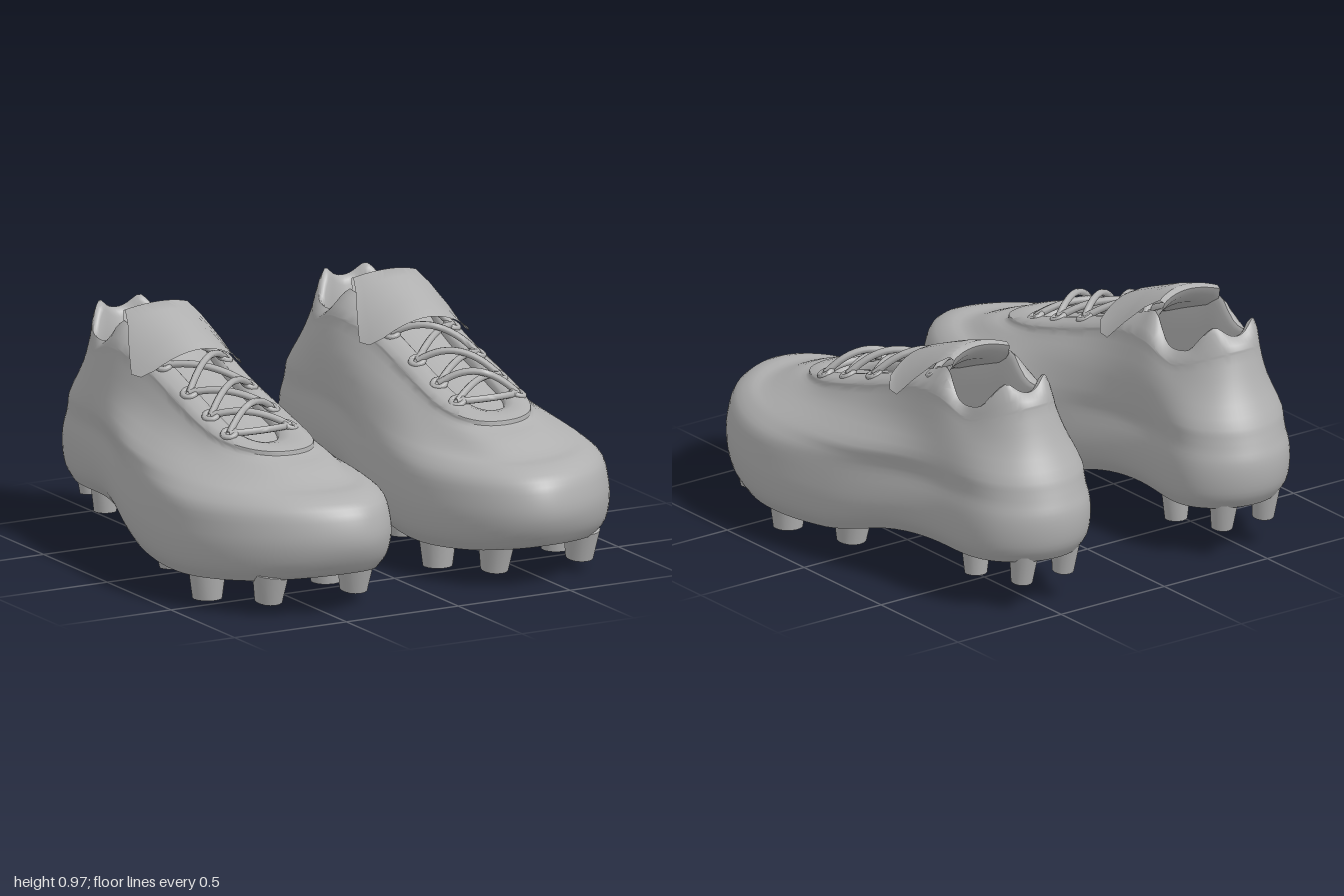
import * as THREE from 'three';
import { toCreasedNormals } from 'three/addons/utils/BufferGeometryUtils.js';

const V = (x, y, z) => new THREE.Vector3(x, y, z);

// Smooth function through [position, value] pairs
function curve(p) {
  const slope = i => {
    const a = p[Math.max(i - 1, 0)], b = p[Math.min(i + 1, p.length - 1)];
    return (b[1] - a[1]) / (b[0] - a[0]);
  };
  return x => {
    x = Math.min(Math.max(x, p[0][0]), p[p.length - 1][0]);
    let i = 0;
    while (i < p.length - 2 && x > p[i + 1][0]) i++;
    const h = p[i + 1][0] - p[i][0], t = (x - p[i][0]) / h, t2 = t * t, t3 = t2 * t;
    return (2 * t3 - 3 * t2 + 1) * p[i][1] + (t3 - 2 * t2 + t) * h * slope(i)
      + (3 * t2 - 2 * t3) * p[i + 1][1] + (t3 - t2) * h * slope(i + 1);
  };
}
const even = a => curve(a.map((v, i) => [i / (a.length - 1), v]));

// Heights along the shoe
const soleY = curve([[-1, .22], [-.7, .205], [-.4, .21], [-.25, .195], [-.1, .155],
  [.05, .125], [.4, .115], [.7, .135], [.9, .165], [1, .19]]);
const wideY = curve([[-1, .34], [-.4, .32], [0, .26], [.5, .26], [1, .30]]);
const bandY = curve([[-1, .46], [-.4, .46], [0, .42], [.5, .41], [1, .44]]);
const ridgeY = curve([[-.96, .54], [-.4, .54], [0, .50], [.4, .49], [.78, .485]]);
const upperY = curve([[-.89, .67], [-.5, .66], [0, .60], [.3, .555], [.64, .54]]);
const stayY = curve([[-.85, .81], [-.65, .74], [-.5, .79], [-.3, .77], [0, .68], [.3, .60], [.54, .565]]);
const topY = curve([[-.8, .865], [-.775, .91], [-.75, .88], [-.71, .82], [-.66, .80], [-.58, .798],
  [-.54, .825], [-.48, .90], [-.4, .875], [-.2, .795], [.1, .69], [.31, .62], [.41, .592]]);

// Horizontal loop: heel to toe on the outer side, then back on the inner side
const N = 60;
function ring(zB, zF, xB, xF, outer, inner, yOf, inset = 0) {
  const fo = even(outer), fi = even(inner), pts = [];
  for (let j = 0; j < 2 * N; j++) {
    const s = j <= N ? j / N : (2 * N - j) / N;
    const k = (1 - Math.cos(Math.PI * s)) / 2, z = zB + (zF - zB) * k;
    const w = Math.sin(Math.PI * s) * ((j <= N ? fo(s) : fi(s)) - inset);
    pts.push(V(xB + (xF - xB) * k + (j <= N ? w : -w), yOf(z), z));
  }
  return pts;
}

function bodyGeometry() {
  const wo = [.50, .465, .362, .445, .556, .575, .50], wi = [.50, .435, .268, .30, .388, .42, .42];
  const so = [.34, .285, .21, .29, .42], si = [.34, .285, .175, .24, .42];
  const to = [.30, .30, .18, .11, .12, .17, .25];
  const band = ring(-.982, .965, .48, .432, wo, wi, bandY, .022);
  const ridge = ring(-.955, .78, .48, .445, [.48, .43, .337, .39, .44, .50, .50],
    [.48, .40, .256, .255, .295, .33, .42], ridgeY);
  const rings = [
    ring(-.95, .93, .48, .435, wo, wi, soleY, .045),
    ring(-.985, .975, .48, .432, wo, wi, z => soleY(z) + .05, .012),
    ring(-1, 1, .48, .43, wo, wi, wideY),
    ring(-.998, .995, .48, .43, wo, wi, z => wideY(z) + .07, .006),
    band,
    band.map((p, j) => p.clone().lerp(ridge[j], .5).add(V(0, .018 * Math.max(p.z, 0), 0))),
    ridge,
    ring(-.89, .64, .487, .46, [.4, .325, .275, .345, .42], [.4, .295, .225, .265, .41], upperY),
    ring(-.845, .54, .5, .475, so, si, stayY),
    ring(-.843, .537, .5, .476, so, si, z => stayY(z) + .016, .004),
    ring(-.80, .41, .505, .505, to, to, topY),
    ring(-.765, .385, .505, .505, to, to, z => topY((z + .19) * 1.052 - .195) - .035, .016),
    ring(-.76, .38, .505, .505, to, to, () => .40, .016)
  ];
  const M = 2 * N, rows = (rings.length - 1) * 3, pos = [], idx = [];
  const cols = rings[0].map((_, j) => new THREE.CatmullRomCurve3(rings.map(r => r[j])));
  for (let k = 0; k <= rows; k++)
    for (let j = 0; j < M; j++) pos.push(...cols[j].getPoint(k / rows).toArray());
  for (let k = 0; k < rows; k++)
    for (let j = 0; j < M; j++) {
      const a = k * M + j, c = k * M + (j + 1) % M;
      idx.push(a, a + M, c, c, a + M, c + M);
    }
  // Sole underneath and insole inside
  for (let j = 0; j < N; j++) {
    const o = (M - j) % M, q = M - j - 1, t = rows * M;
    if (j < N - 1) idx.push(j, j + 1, q), idx.push(t + j, t + q, t + j + 1);
    if (j > 0) idx.push(j, q, o), idx.push(t + j, t + o, t + q);
  }
  return build(pos, idx);
}

function build(pos, idx) {
  const g = new THREE.BufferGeometry();
  g.setAttribute('position', new THREE.Float32BufferAttribute(pos, 3));
  g.setIndex(idx);
  return g;
}

// Arched sheet through rows of [z, y, half width, side drop]
function sheet(rows, n = 12) {
  const pos = [], idx = [];
  rows.forEach(([z, y, w, d], r) => {
    for (let i = 0; i <= n; i++) {
      const u = i / n * 2 - 1;
      pos.push(.51 + u * w, y - d * u * u, z - .03 * u * u);
      if (r && i) {
        const b = r * (n + 1) + i, a = b - n - 1;
        idx.push(a - 1, a, b - 1, a, b, b - 1);
      }
    }
  });
  return build(pos, idx);
}

// All parts of one shoe, as [name, geometry]
function shoeParts() {
  const parts = [['shoeBody', bodyGeometry()]];
  parts.push(['tongue', sheet([[.42, .57, .11, 0], [.2, .637, .115, .01], [0, .70, .115, .01],
    [-.2, .775, .13, .02], [-.4, .875, .15, .04], [-.455, .925, .14, .03], [-.468, .955, .135, .02]])]);
  parts.push(['tongueFlap', sheet([[-.468, .955, .135, .02], [-.445, .968, .14, .025], [-.38, .95, .165, .05],
    [-.3, .92, .205, .10], [-.23, .893, .235, .15], [-.17, .868, .225, .125], [-.125, .845, .19, .07]])]);

  // Eyelets beside the throat
  const eyeZ = [.335, .19, .02, -.18, -.37];
  const eye = (z, s) => V(.51 + s * .135, (stayY(z) + .016 + topY(z)) / 2 + .014, z);
  for (const z of eyeZ) for (const s of [-1, 1]) {
    const g = new THREE.TorusGeometry(.025, .012, 8, 18);
    g.applyQuaternion(new THREE.Quaternion().setFromUnitVectors(V(0, 0, 1), V(s * .35, 1, .33).normalize()));
    parts.push(['eyelet', g.translate(...eye(z, s).toArray())]);
  }

  // Crossed laces and the straight bottom one
  const lace = (a, b, lift, dz = 0) => {
    const mid = a.clone().lerp(b, .5).add(V(0, lift, dz));
    parts.push(['lace', new THREE.TubeGeometry(new THREE.QuadraticBezierCurve3(a, mid, b), 14, .014, 8)]);
  };
  for (let i = 0; i < eyeZ.length - 1; i++)
    for (const s of [-1, 1]) lace(eye(eyeZ[i], s), eye(eyeZ[i + 1], -s), s > 0 ? .135 : .07);
  lace(eye(eyeZ[0], -1), eye(eyeZ[0], 1), .01, .06);

  // Studs: [x, z, bottom height, top radius, bottom radius, tilt]
  const studs = [[.695, .74, .05, .073, .055, .15], [.315, .74, .05, .073, .055, .15],
    [.78, .4, 0, .078, .059, 0], [.25, .4, 0, .078, .059, 0],
    [.73, .05, .04, .078, .059, -.08], [.30, .05, .04, .078, .059, -.08],
    [.645, -.64, .10, .06, .045, 0], [.325, -.64, .10, .06, .045, 0],
    [.585, -.865, .115, .058, .043, -.12], [.385, -.865, .115, .058, .043, -.12]];
  for (const [x, z, y, r1, r2, tilt] of studs) {
    const h = soleY(z) + .03 - y;
    const g = new THREE.CylinderGeometry(r1, r2, h, 16);
    parts.push(['stud', g.rotateX(tilt).translate(x, y + h / 2, z)]);
  }
  return parts;
}

// Mirrored copy with its corner order turned round
function mirror(geo) {
  const g = geo.clone().scale(-1, 1, 1), a = g.index.array;
  for (let i = 0; i < a.length; i += 3) [a[i + 1], a[i + 2]] = [a[i + 2], a[i + 1]];
  return g;
}

export function createModel() {
  const grey = new THREE.MeshStandardMaterial({ color: 0xb0b0b0, side: THREE.DoubleSide });
  grey.name = 'grey';
  const model = new THREE.Group();
  model.name = 'studdedShoes';
  const parts = shoeParts();
  for (const side of ['left', 'right']) {
    const shoe = new THREE.Group();
    shoe.name = side + 'Shoe';
    for (const [name, geo] of parts) {
      const mesh = new THREE.Mesh(toCreasedNormals(side === 'left' ? geo : mirror(geo), .8), grey);
      mesh.name = name;
      shoe.add(mesh);
    }
    model.add(shoe);
  }
  return model;
}
